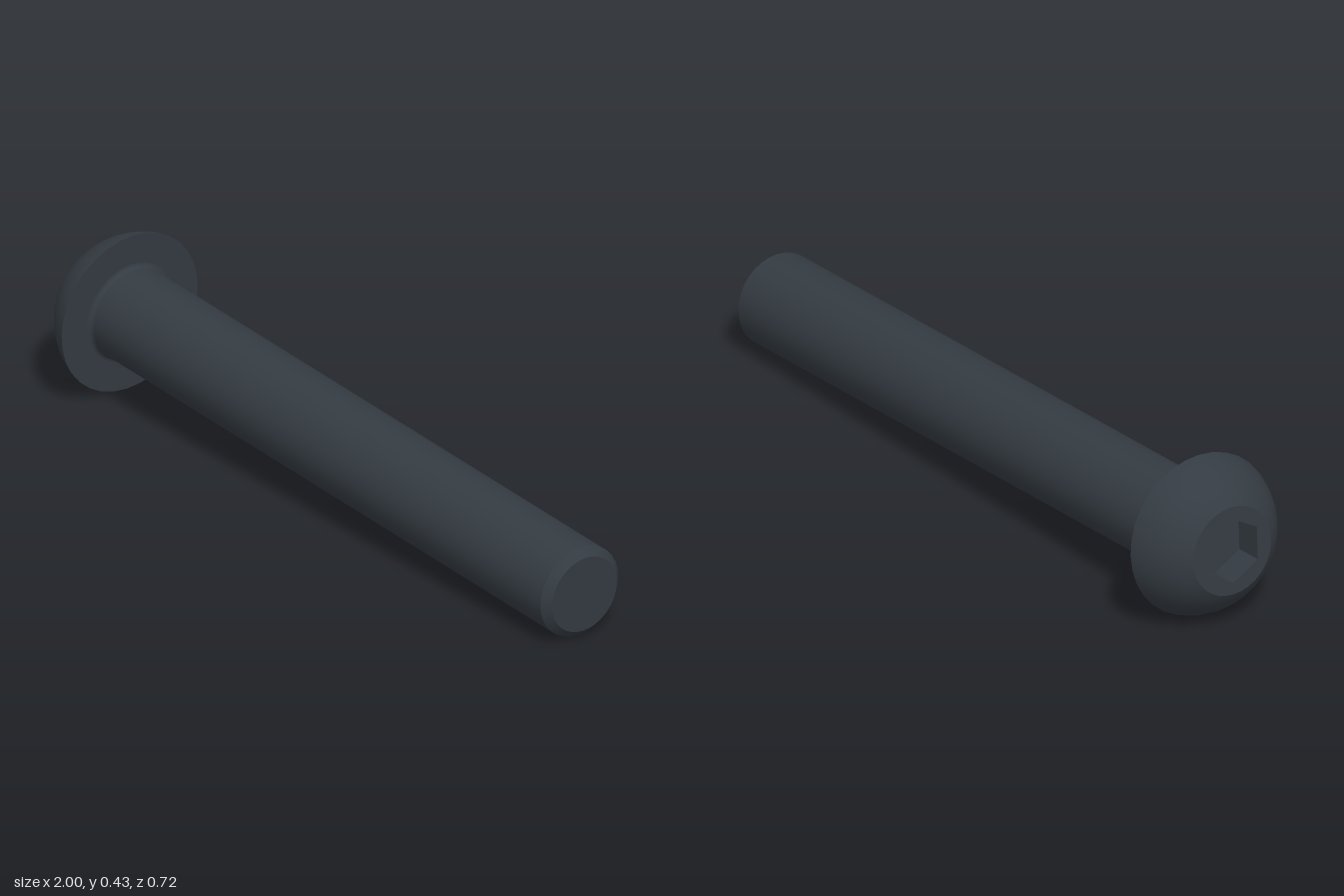
import * as THREE from 'three';

const SEG = 32;
const R_SHANK = 0.124, R_HEAD = 0.217, R_FLAT = 0.12, R_HEX = 0.089;
const H_HEAD = 0.136, LENGTH = 1.86, CHAMFER = 0.021, FILLET = 0.012, DEPTH = 0.08;

export function createModel() {
  const steel = new THREE.MeshStandardMaterial({ color: 0x343b42 });
  steel.name = 'black steel';
  const bolt = new THREE.Group();
  bolt.name = 'buttonHeadBolt';

  const add = (name, geometry) => {
    const mesh = new THREE.Mesh(geometry, steel);
    mesh.name = name;
    bolt.add(mesh);
  };
  const turned = (name, points) =>
    add(name, new THREE.LatheGeometry(points.map(([r, y]) => new THREE.Vector2(r, y)), SEG));

  // Shaft: end face, chamfer, then shank with a small fillet under the head
  turned('tipFace', [[0, -LENGTH], [R_SHANK - CHAMFER, -LENGTH]]);
  turned('tipChamfer', [[R_SHANK - CHAMFER, -LENGTH], [R_SHANK, -LENGTH + CHAMFER]]);
  turned('shank', [[R_SHANK, -LENGTH + CHAMFER], [R_SHANK, -FILLET]]);
  const fillet = [];
  for (let i = 0; i <= 4; i++) {
    const a = (i / 4) * Math.PI / 2;
    fillet.push([R_SHANK + FILLET * (1 - Math.cos(a)), -FILLET * (1 - Math.sin(a))]);
  }
  turned('neckFillet', fillet);
  turned('headUnderside', [[R_SHANK + FILLET, 0], [R_HEAD, 0]]);

  // Head: spherical dome from the rim up to the flat top
  const cy = (R_FLAT ** 2 + H_HEAD ** 2 - R_HEAD ** 2) / (2 * H_HEAD);
  const radius = Math.hypot(R_HEAD, cy);
  const a0 = Math.atan2(-cy, R_HEAD), a1 = Math.atan2(H_HEAD - cy, R_FLAT);
  const dome = [];
  for (let i = 0; i <= 10; i++) {
    const a = a0 + (a1 - a0) * i / 10;
    dome.push([radius * Math.cos(a), cy + radius * Math.sin(a)]);
  }
  turned('headDome', dome);

  // Flat top with a hexagonal opening
  const top = new THREE.Shape().absarc(0, 0, R_FLAT, 0, Math.PI * 2);
  const hexagon = [];
  for (let i = 0; i < 6; i++) {
    const a = Math.PI / 2 - i * Math.PI / 3;
    hexagon.push(new THREE.Vector2(R_HEX * Math.cos(a), R_HEX * Math.sin(a)));
  }
  top.holes.push(new THREE.Path(hexagon));
  add('headTop', new THREE.ShapeGeometry(top, SEG / 2).rotateX(-Math.PI / 2).translate(0, H_HEAD, 0));

  // Socket: walls mirrored to face inward, and a flat floor
  const walls = new THREE.CylinderGeometry(R_HEX, R_HEX, DEPTH, 6, 1, true)
    .scale(-1, 1, 1).translate(0, H_HEAD - DEPTH / 2, 0).toNonIndexed();
  walls.computeVertexNormals();
  add('socketWalls', walls);
  add('socketFloor', new THREE.CircleGeometry(R_HEX, 6, Math.PI / 2)
    .rotateX(-Math.PI / 2).translate(0, H_HEAD - DEPTH, 0));

  // Lay the bolt down: it rests on the rim of the head and the tip
  const axis = new THREE.Vector3(-0.9766, 0.05, -0.2095).normalize();
  const side = new THREE.Vector3().crossVectors(axis, new THREE.Vector3(0, 1, 0)).normalize();
  const up = new THREE.Vector3().crossVectors(side, axis);
  bolt.quaternion.setFromRotationMatrix(new THREE.Matrix4().makeBasis(side, axis, up));
  bolt.position.set(-0.84, 0.218, -0.147);

  const model = new THREE.Group();
  model.name = 'bolt';
  model.add(bolt);
  return model;
}
